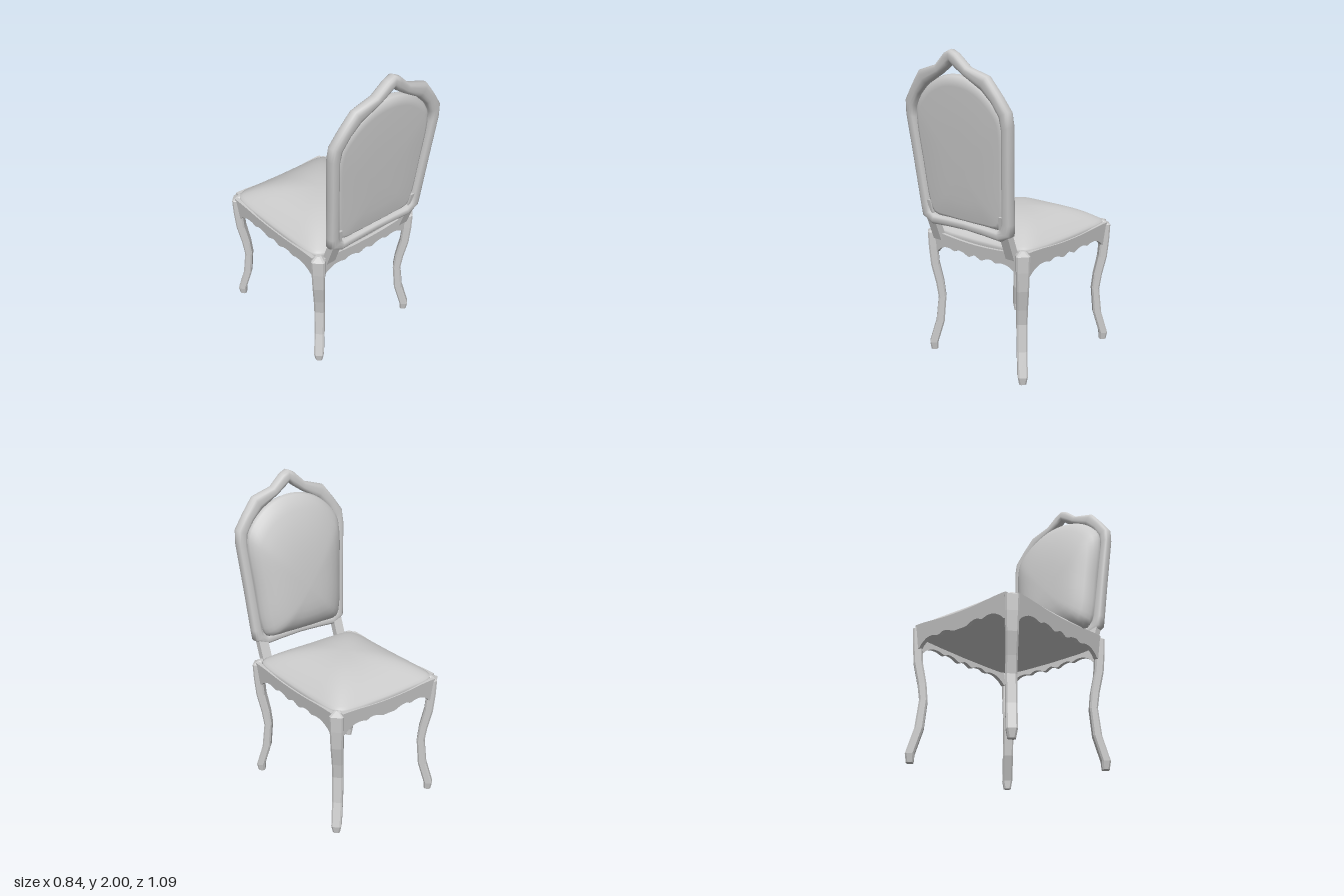
import * as THREE from 'three';

const V = (x, y, z) => new THREE.Vector3(x, y, z);

// Skin a list of equal-length rings; capped at both ends, or closed into a loop
function loft(rings, closed = false) {
  const n = rings[0].length, m = rings.length, pos = [], idx = [];
  rings.forEach(r => r.forEach(p => pos.push(p.x, p.y, p.z)));
  for (let i = 0; i < (closed ? m : m - 1); i++) {
    for (let j = 0; j < n; j++) {
      const k = (j + 1) % n, u = ((i + 1) % m) * n;
      const a = i * n + j, b = i * n + k, c = u + k, d = u + j;
      idx.push(a, b, c, a, c, d);
    }
  }
  if (!closed) {
    [0, m - 1].forEach(i => {
      const mid = V(0, 0, 0);
      rings[i].forEach(p => mid.addScaledVector(p, 1 / n));
      const c = pos.length / 3;
      pos.push(mid.x, mid.y, mid.z);
      for (let j = 0; j < n; j++) {
        const a = i * n + j, b = i * n + (j + 1) % n;
        if (i === 0) idx.push(c, b, a); else idx.push(c, a, b);
      }
    });
  }
  const g = new THREE.BufferGeometry();
  g.setAttribute('position', new THREE.Float32BufferAttribute(pos, 3));
  g.setIndex(idx);
  g.computeVertexNormals();
  return g;
}

// Mirror a half outline (top centre to bottom centre) into a full clockwise loop
const mirrorLoop = half => half.concat(
  half.slice(1, -1).reverse().map(p => p.map((v, i) => (i % 2 ? v : -v))));

// Plane of the leaning backrest
const lean = y => 0.411 + (y - 0.95) * 0.099;

// Cabriole leg: bevelled bar set diagonally, bowing in towards the middle
function legGeometry(sx, sz) {
  const stations = [ // height, half spacing, half width across, half depth
    [0, 0.38, 0.022, 0.022], [0.05, 0.382, 0.031, 0.027], [0.2, 0.35, 0.032, 0.027],
    [0.37, 0.338, 0.033, 0.025], [0.47, 0.347, 0.034, 0.027], [0.6, 0.367, 0.037, 0.028],
    [0.72, 0.374, 0.04, 0.029], [0.82, 0.376, 0.042, 0.03], [0.845, 0.362, 0.016, 0.014]];
  const b = 0.01, rx = sx * Math.SQRT1_2, rz = sz * Math.SQRT1_2;
  return loft(stations.map(([y, s, w, r]) =>
    [[r, b - w], [r, w - b], [r - b, w], [b - r, w], [-r, w - b], [-r, b - w], [b - r, -w], [r - b, -w]]
      .map(([u, v]) => V(sx * s + u * rx + v * rz, y, -0.082 + sz * (s + 0.045) + u * rz - v * rx))));
}

// Scalloped apron board, centred on x, of half length L, with a sagging top edge
function apronGeometry(L, top, centre) {
  const half = [[1, 0.688], [0.93, 0.686], [0.87, 0.708], [0.74, 0.734], [0.6, 0.738], [0.48, 0.728],
    [0.38, 0.741], [0.26, 0.736], [0.14, 0.719], [0, centre]];
  const bottom = half.slice(0, -1).map(([u, y]) => [-u, y]).concat(half.reverse())
    .map(([u, y]) => new THREE.Vector2(u * L, y));
  const s = new THREE.Shape();
  s.moveTo(L, top);
  s.bezierCurveTo(L * 0.6, top, L * 0.5, top - 0.018, 0, top - 0.018);
  s.bezierCurveTo(-L * 0.5, top - 0.018, -L * 0.6, top, -L, top);
  s.lineTo(-L, 0.688);
  s.splineThru(bottom.slice(1));
  s.closePath();
  const g = new THREE.ExtrudeGeometry(s, { depth: 0.026, bevelEnabled: false, curveSegments: 20 });
  g.translate(0, 0, -0.013);
  // Lean the lower edge in under the seat
  const p = g.attributes.position;
  for (let i = 0; i < p.count; i++) p.setZ(i, p.getZ(i) - 0.1 * (0.83 - p.getY(i)));
  g.computeVertexNormals();
  return g;
}

// Domed seat cushion: rounded rectangle rings shrinking upwards and growing rounder
function seatGeometry() {
  const ring = (t, y) => {
    const pts = [], n = 96, e = 2 / (3.5 + 5.5 * t * t);
    for (let j = 0; j < n; j++) {
      const a = j / n * Math.PI * 2, c = Math.cos(a), s = Math.sin(a);
      const u = Math.sign(c) * Math.abs(c) ** e, v = Math.sign(s) * Math.abs(s) ** e;
      const sag = 0.012 * t ** 4 * (1 - Math.min(Math.abs(u), Math.abs(v)) ** 2);
      pts.push(V(0.395 * t * u, y - sag, -0.095 - 0.436 * t * v));
    }
    return pts;
  };
  const rings = [ring(0.97, 0.775), ring(0.985, 0.8), ring(1, 0.834)];
  for (const t of [0.985, 0.95, 0.9, 0.82, 0.72, 0.6, 0.45, 0.3, 0.15, 0.03]) {
    rings.push(ring(t, 0.844 + 0.122 * (1 - t ** 2.6)));
  }
  return loft(rings);
}

// Padded back panel: full dome towards the seat, shallow one behind
function backCushionGeometry() {
  const half = [[0, 1.857], [0.1, 1.845], [0.2, 1.803], [0.285, 1.735], [0.34, 1.66], [0.353, 1.58],
    [0.33, 1.3], [0.306, 1.04], [0.28, 0.974], [0.14, 0.965], [0, 0.965]];
  const curve = new THREE.CatmullRomCurve3(
    mirrorLoop(half).reverse().map(([x, y]) => V(x, y, 0)), true);
  const outline = curve.getSpacedPoints(80).slice(0, 80);
  const cy = 1.27;
  const profile = [ // scale, offset from the leaning plane
    [0.03, -0.168], [0.25, -0.166], [0.42, -0.159], [0.57, -0.149], [0.72, -0.131], [0.86, -0.104],
    [0.94, -0.077], [0.985, -0.05], [1, -0.03], [0.985, -0.005], [0.95, 0.01], [0.9, 0.017], [0.5, 0.022],
    [0.03, 0.022]];
  return loft(profile.map(([t, o]) => outline.map(p => {
    const a = Math.atan2(p.y - cy, p.x), k = (1 - t) * 0.6;
    const x = THREE.MathUtils.lerp(p.x, 0.35 * Math.cos(a), k) * t;
    const y = cy + THREE.MathUtils.lerp(p.y - cy, 0.44 * Math.sin(a), k) * t;
    return V(x, y, lean(y) + o);
  })));
}

// Carved back frame: elliptical section between an outer and an inner outline
function backFrameGeometry() {
  const half = [ // outer x, y, inner x, y
    [0, 2, 0, 1.922], [0.045, 1.98, 0.03, 1.895], [0.125, 1.908, 0.095, 1.853], [0.265, 1.868, 0.215, 1.785],
    [0.34, 1.775, 0.285, 1.72], [0.405, 1.685, 0.333, 1.645], [0.412, 1.6, 0.343, 1.575],
    [0.387, 1.3, 0.32, 1.3], [0.367, 1.02, 0.296, 1.03], [0.361, 0.95, 0.284, 0.985],
    [0.28, 0.905, 0.255, 0.967], [0.15, 0.914, 0.14, 0.972], [0, 0.92, 0, 0.975]];
  return loft(mirrorLoop(half).map(([ox, oy, ix, iy]) => {
    const ring = [];
    for (let j = 0; j < 14; j++) {
      const a = j / 14 * Math.PI * 2, c = Math.cos(a), s = Math.sin(a);
      const k = Math.sign(c) * Math.abs(c) ** 0.75;
      const y = (oy + iy) / 2 + k * (oy - iy) / 2;
      ring.push(V((ox + ix) / 2 + k * (ox - ix) / 2, y,
        lean(y) + 0.036 * Math.sign(s) * Math.abs(s) ** 0.75));
    }
    return ring;
  }), true);
}

// Short post joining the seat to the back frame
function postGeometry(side) {
  return loft([[0.785, 0.345, 0.033], [0.94, 0.402, 0.033], [1.06, 0.424, 0.022]].map(([y, z, w]) =>
    [[-1, 1], [1, 1], [1, -1], [-1, -1]].map(([a, b]) => V(side * 0.302 + a * w, y, z + b * 0.024))));
}

export function createModel() {
  const chair = new THREE.Group();
  chair.name = 'chair';
  const smooth = new THREE.MeshStandardMaterial({ color: 0xcccccc });
  const faceted = new THREE.MeshStandardMaterial({ color: 0xcccccc, flatShading: true });
  const add = (name, geometry, material) => {
    const mesh = new THREE.Mesh(geometry, material);
    mesh.name = name;
    chair.add(mesh);
    return mesh;
  };

  for (const sx of [1, -1]) {
    const side = sx > 0 ? 'left' : 'right';
    add(side + 'BackrestLeg', legGeometry(sx, 1), faceted);
    add(side + 'OpenSideLeg', legGeometry(sx, -1), faceted);
    add(side + 'Post', postGeometry(sx), faceted);
    const apron = add(side + 'Apron', apronGeometry(0.4, 0.838, 0.738), smooth);
    apron.rotation.y = sx * Math.PI / 2;
    apron.position.set(sx * 0.393, 0, -0.085);
  }
  add('backrestApron', apronGeometry(0.36, 0.828, 0.738), smooth).position.z = 0.348;
  const openApron = add('openSideApron', apronGeometry(0.36, 0.838, 0.718), smooth);
  openApron.rotation.y = Math.PI;
  openApron.position.z = -0.527;

  add('seatCushion', seatGeometry(), smooth);
  add('backCushion', backCushionGeometry(), smooth);
  add('backFrame', backFrameGeometry(), smooth);
  return chair;
}
